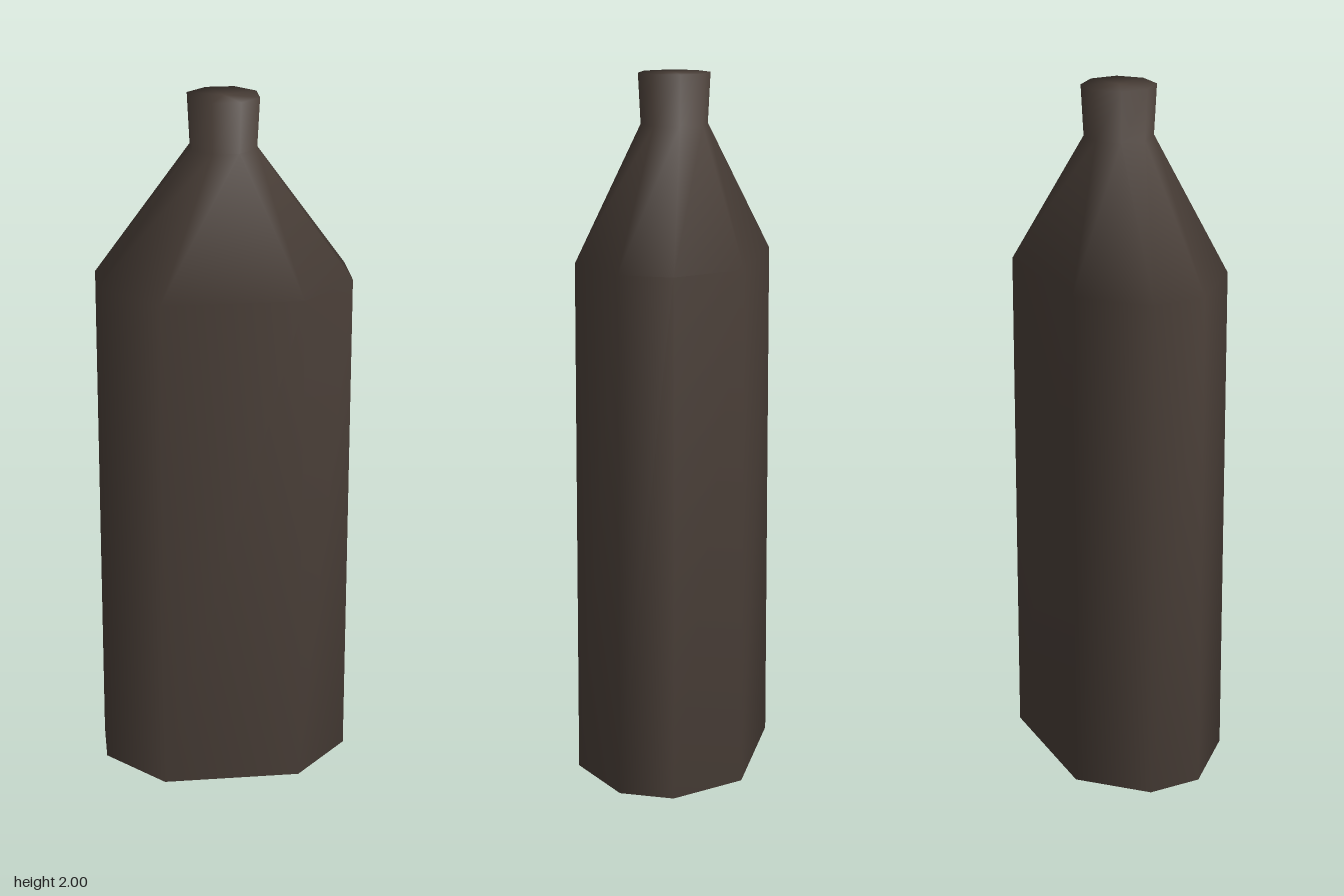
import * as THREE from 'three';

// Half of each eight-sided section as [x, z]; the other half is its point reflection.
const bodyHalf = [[-0.13, -0.285], [0.255, -0.183], [0.37, 0.017], [0.328, 0.168]];
const neckHalf = [[-0.012, -0.101], [0.064, -0.081], [0.101, -0.012], [0.081, 0.064]];

const fullSection = half => [...half, ...half.map(([x, z]) => [-x, -z])];

// Stacks the sections into a closed, smoothly shaded skin.
function loft(rings) {
  const positions = [];
  const index = [];
  const n = rings[0].section.length;
  for (const { section, y, scale } of rings) {
    for (const [x, z] of section) positions.push(x * scale, y, z * scale);
  }
  for (let r = 0; r < rings.length - 1; r++) {
    for (let i = 0; i < n; i++) {
      const a = r * n + i;
      const b = r * n + (i + 1) % n;
      index.push(a, a + n, b, b, a + n, b + n);
    }
  }
  // End caps
  const top = (rings.length - 1) * n;
  const bottomCentre = rings.length * n;
  positions.push(0, rings[0].y, 0, 0, rings[rings.length - 1].y, 0);
  for (let i = 0; i < n; i++) {
    const j = (i + 1) % n;
    index.push(bottomCentre, i, j, bottomCentre + 1, top + j, top + i);
  }
  const geometry = new THREE.BufferGeometry();
  geometry.setAttribute('position', new THREE.Float32BufferAttribute(positions, 3));
  geometry.setIndex(index);
  geometry.computeVertexNormals();
  return geometry;
}

export function createModel() {
  const group = new THREE.Group();
  group.name = 'bottle';
  const darkBrown = new THREE.MeshStandardMaterial({ color: 0x4a3f38 });
  darkBrown.name = 'darkBrown';

  const body = fullSection(bodyHalf);
  const neck = fullSection(neckHalf);

  // Base, shoulder, foot of the neck and lip
  const bottle = new THREE.Mesh(loft([
    { section: body, y: 0, scale: 1 },
    { section: body, y: 1.49, scale: 0.98 },
    { section: neck, y: 1.86, scale: 0.93 },
    { section: neck, y: 2, scale: 1 },
  ]), darkBrown);
  bottle.name = 'bottleBody';
  group.add(bottle);
  return group;
}
